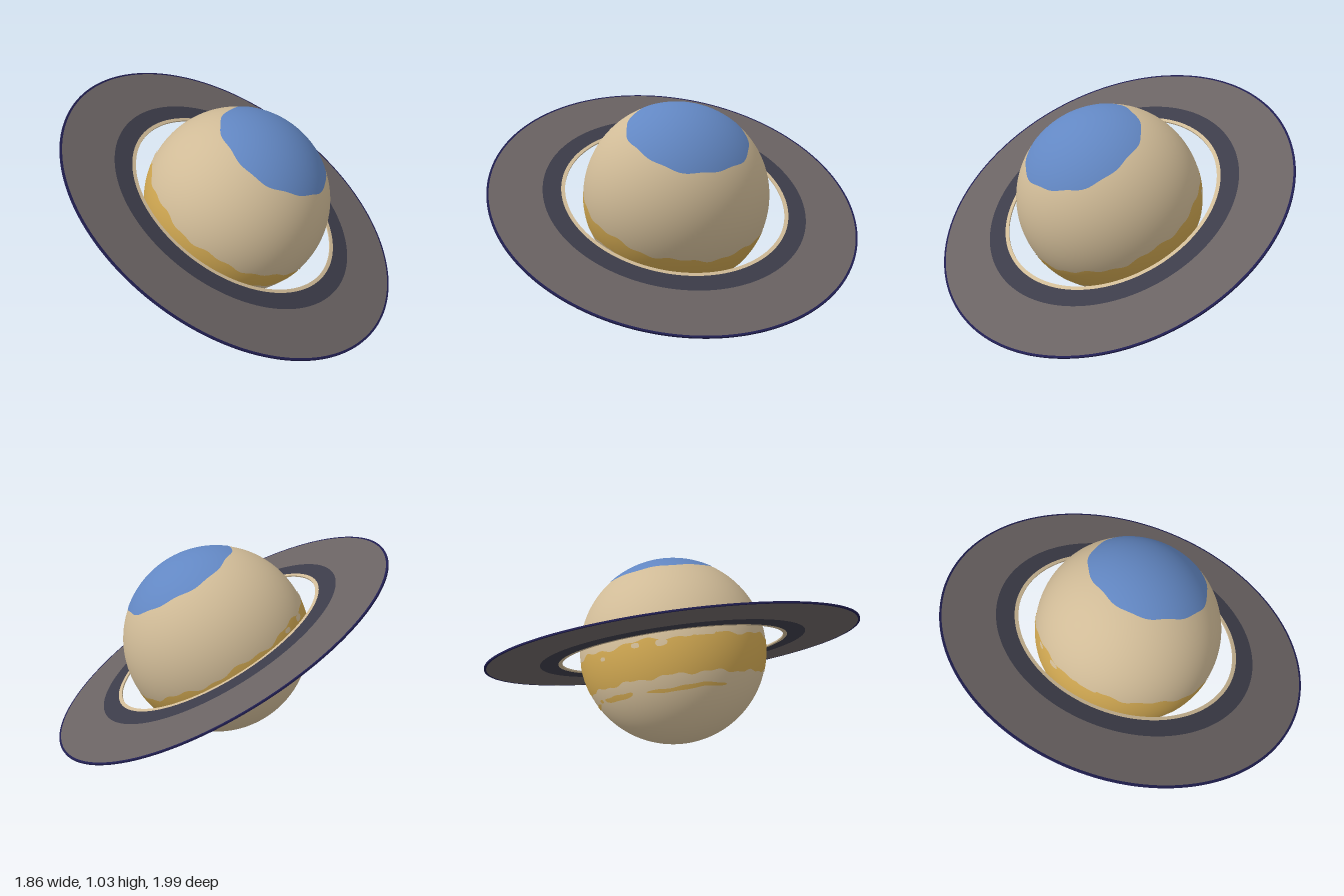
import * as THREE from 'three';

const R = 0.515; // globe radius
const TAU = Math.PI * 2;
const rad = THREE.MathUtils.degToRad;

const mat = (name, color, side = THREE.FrontSide) => {
  const m = new THREE.MeshStandardMaterial({ color, side });
  m.name = name;
  return m;
};

// Curved patch of a sphere between two edges; edges give the sine of latitude
// as a function of longitude.
function spherePatch(radius, phi0, phi1, lower, upper, cols, rows) {
  const pos = [], nor = [], idx = [];
  for (let i = 0; i <= cols; i++) {
    const phi = phi0 + (phi1 - phi0) * i / cols;
    const a = Math.asin(lower(phi)), b = Math.asin(upper(phi));
    for (let j = 0; j <= rows; j++) {
      const lat = a + (b - a) * j / rows;
      const n = [Math.cos(phi) * Math.cos(lat), Math.sin(lat), Math.sin(phi) * Math.cos(lat)];
      nor.push(...n);
      pos.push(...n.map(v => v * radius));
      if (i < cols && j < rows) {
        const p = i * (rows + 1) + j, q = p + rows + 1;
        idx.push(p, p + 1, q, q, p + 1, q + 1);
      }
    }
  }
  const g = new THREE.BufferGeometry();
  g.setAttribute('position', new THREE.Float32BufferAttribute(pos, 3));
  g.setAttribute('normal', new THREE.Float32BufferAttribute(nor, 3));
  g.setIndex(idx);
  return g;
}

// Tapered blotch: longitudes in degrees, sine of latitude and half height
function blotch(radius, from, to, s, half) {
  const a = rad(from), b = rad(to);
  const h = phi => {
    const t = 2 * (phi - a) / (b - a) - 1;
    return half * Math.pow(Math.max(0, 1 - t * t), 0.4);
  };
  const mid = phi => s + 0.008 * Math.sin(phi * 9);
  return spherePatch(radius, a, b,
    p => mid(p) - h(p) * (1 + 0.2 * Math.sin(p * 17)),
    p => mid(p) + h(p) * (1 + 0.2 * Math.sin(p * 23)),
    Math.max(12, Math.ceil((to - from) / 1.5)), 3);
}

export function createModel() {
  const tan = mat('sandTan', 0xd0bb97);
  const ochre = mat('ochreYellow', 0xcda550);
  const blue = mat('polarBlue', 0x6287c3);
  const grey = mat('ringGrey', 0x6a6363);
  const navy = mat('ringSlate', 0x3c3c49);
  const rim = mat('rimIndigo', 0x201e50);

  const model = new THREE.Group();
  model.name = 'ringedPlanet';
  const planet = new THREE.Group();
  planet.name = 'tiltedPlanet';
  planet.position.y = 0.517;
  planet.quaternion.setFromUnitVectors(
    new THREE.Vector3(0, 1, 0), new THREE.Vector3(0.429, 0.866, 0.255).normalize());
  model.add(planet);

  const add = (name, geometry, material) => {
    const m = new THREE.Mesh(geometry, material);
    m.name = name;
    planet.add(m);
  };

  // Globe
  add('globe', new THREE.SphereGeometry(R, 128, 80), tan);

  // Polar cap with a slightly uneven edge
  add('polarCap', spherePatch(R + 0.002, 0, TAU,
    p => 0.778 + 0.006 * Math.sin(5 * p) + 0.005 * Math.sin(11 * p + 1),
    () => 1, 120, 24), blue);

  // Wide cloud band under the equator; lower edge keyed every 30 degrees
  const keys = [0.35, 0.32, 0.21, 0.24, 0.33, 0.38, 0.40, 0.38, 0.38, 0.38, 0.38, 0.37];
  const lowerEdge = p => {
    const k = p / TAU * 12, i = Math.floor(k);
    const f = THREE.MathUtils.smoothstep(k - i, 0, 1);
    const v = THREE.MathUtils.lerp(keys[i % 12], keys[(i + 1) % 12], f);
    return -v + 0.012 * Math.sin(13 * p) + 0.008 * Math.sin(29 * p + 2);
  };
  const upperEdge = p => -0.025 + 0.018 * Math.sin(9 * p + 1) + 0.012 * Math.sin(23 * p);
  add('cloudBand', spherePatch(R + 0.002, 0, TAU, lowerEdge, upperEdge, 240, 14), ochre);

  // Thin southern streaks: from, to, sine of latitude, half height
  [
    [-66, 48, -0.51, 0.032], [-73, -68, -0.49, 0.02], [-104, -76, -0.49, 0.028],
    [-168, -113, -0.505, 0.02], [54, 76, -0.525, 0.022], [82, 108, -0.49, 0.034],
  ].forEach(([a, b, s, h]) => add('cloudStreak', blotch(R + 0.002, a, b, s, h), ochre));

  // Pale spots breaking up the wide band
  [
    [-132, -125, -0.06, 0.035], [-116, -111, -0.06, 0.03],
    [-92, -88, -0.1, 0.02], [-160, -146, -0.015, 0.04],
  ].forEach(([a, b, s, h]) => add('paleSpot', blotch(R + 0.004, a, b, s, h), tan));

  // Flat concentric rings, each a lathed rectangle
  const t = 0.004;
  [
    ['innerRing', 0.615, 0.636, tan],
    ['slateRing', 0.636, 0.735, navy],
    ['mainRing', 0.735, 1.016, grey],
    ['outerRim', 1.016, 1.027, rim],
  ].forEach(([name, a, b, material]) => {
    const shape = new THREE.Shape().absarc(0, 0, b, 0, TAU);
    shape.holes.push(new THREE.Path().absarc(0, 0, a, 0, TAU, true));
    const g = new THREE.ExtrudeGeometry(shape, { depth: 2 * t, bevelEnabled: false, curveSegments: 128 });
    g.translate(0, 0, -t).rotateX(-Math.PI / 2);
    add(name, g, material);
  });

  return model;
}
